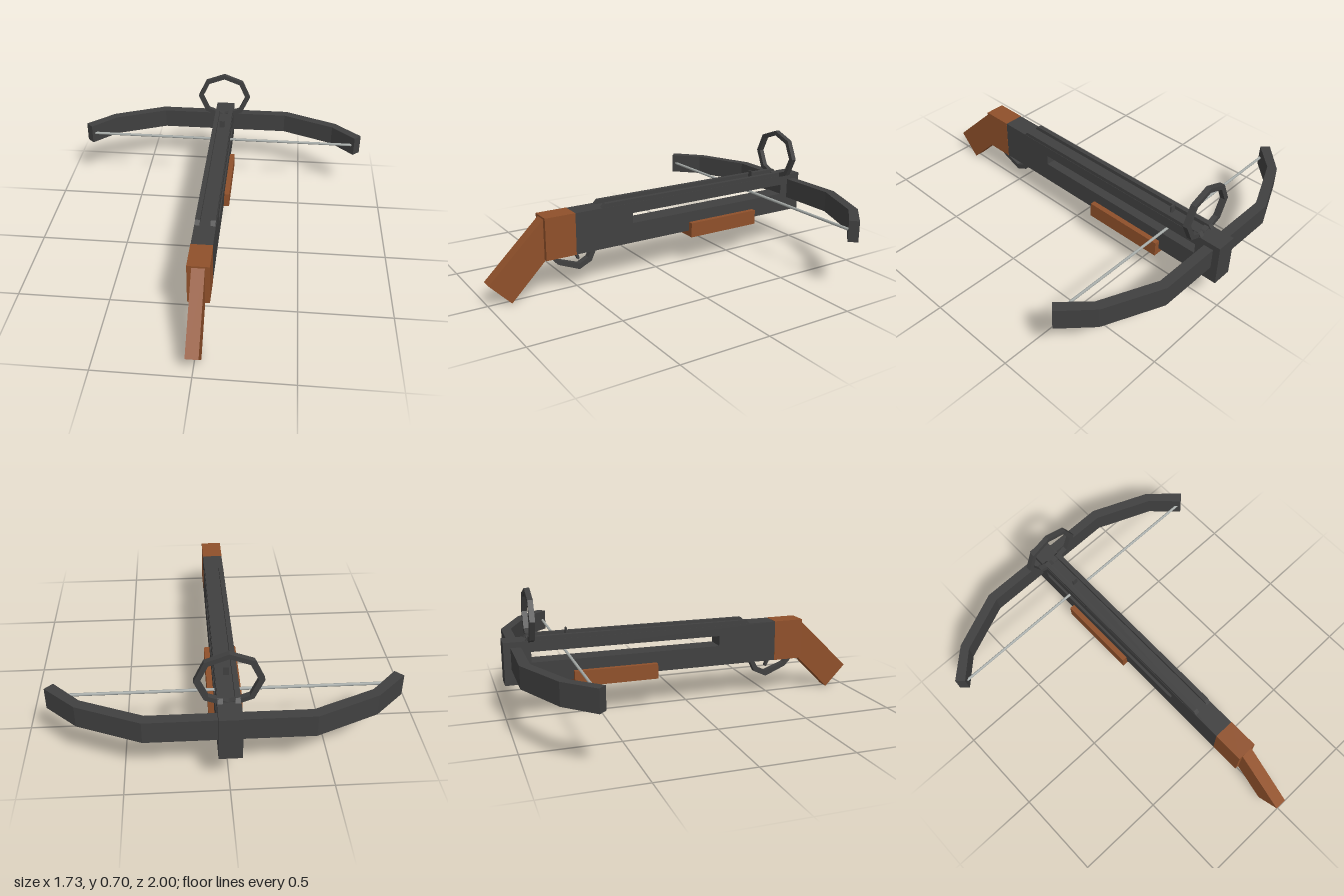
import * as THREE from 'three';

const material = (name, color) => {
  const m = new THREE.MeshStandardMaterial({ color });
  m.name = name;
  return m;
};

export function createModel() {
  const model = new THREE.Group();
  model.name = 'crossbow';
  const metal = material('dark metal', 0x404040);
  const wood = material('brown wood', 0x8f502a);
  const cord = material('grey cord', 0xa8adaa);

  const add = (name, geometry, mat, x = 0, y = 0, z = 0) => {
    const mesh = new THREE.Mesh(geometry, mat);
    mesh.name = name;
    mesh.position.set(x, y, z);
    model.add(mesh);
    return mesh;
  };
  const vectors = (points) => points.map(([a, b]) => new THREE.Vector2(a, b));
  const extrude = (points, depth, hole) => {
    const shape = new THREE.Shape(vectors(points));
    if (hole) shape.holes.push(new THREE.Path(vectors(hole)));
    return new THREE.ExtrudeGeometry(shape, { depth, bevelEnabled: false });
  };
  // Side profile of [z, y] points, extruded across x and centred
  const side = (points, width, hole) =>
    extrude(points, width, hole).translate(0, 0, -width / 2).rotateY(-Math.PI / 2);
  const rect = (a, b, c, d) => [[a, c], [b, c], [b, d], [a, d]];

  // Body with a long slot cut through for the string
  add('body', side(rect(-1, 0.523, 0.203, 0.43), 0.112, rect(-0.86, 0.18, 0.315, 0.372)), metal);

  // Twin top rails with sloped ends
  for (const s of [-1, 1]) {
    add('topRail', side([[-0.89, 0.425], [0.37, 0.425], [0.345, 0.451], [-0.87, 0.451]], 0.026),
      metal, s * 0.041);
  }
  add('sight', new THREE.BoxGeometry(0.03, 0.05, 0.008), metal, 0, 0.45, -0.667);

  // Wooden stock block, angled grip and fore-end
  add('stockBlock', new THREE.BoxGeometry(0.114, 0.229, 0.171), wood, 0, 0.3165, 0.6075);
  add('grip', side([[0.65, 0.23], [0.69, 0.195], [0.882, 0.002], [1, 0.124], [0.69, 0.424], [0.65, 0.42]], 0.066), wood);
  add('foreEnd', new THREE.BoxGeometry(0.17, 0.084, 0.456), wood, 0, 0.212, -0.415);

  // Trigger guard strap and trigger
  add('triggerGuard', side([
    [0.665, 0.21], [0.61, 0.15], [0.488, 0.1], [0.416, 0.134], [0.38, 0.21],
    [0.408, 0.21], [0.436, 0.156], [0.488, 0.131], [0.6, 0.172], [0.633, 0.21],
  ], 0.035), metal);
  add('trigger', side([[0.522, 0.21], [0.493, 0.155], [0.483, 0.16], [0.5, 0.21]], 0.022), metal);

  // Bow limbs, mirrored from half outlines of [x, z] points
  const outer = [[0.4, -0.963], [0.71, -0.831], [0.863, -0.688]];
  const inner = [[0.824, -0.65], [0.69, -0.783], [0.388, -0.91]];
  const half = [...outer, ...inner];
  const mirrored = half.map(([x, z]) => [-x, z]).reverse();
  add('bowLimbs', extrude([...half, ...mirrored], 0.115).rotateX(Math.PI / 2), metal, 0, 0.401, 0);

  // String stretched between the limb tips
  add('bowString', new THREE.CylinderGeometry(0.008, 0.008, 1.66, 6).rotateZ(Math.PI / 2),
    cord, 0, 0.345, -0.67);

  // Eight-sided foot loop
  const ring = (rx, ry) => Array.from({ length: 8 }, (_, i) => {
    const a = (i * Math.PI) / 4;
    return [rx * Math.cos(a), ry * Math.sin(a)];
  });
  add('footLoop', extrude(ring(0.162, 0.147), 0.028, ring(0.134, 0.121)), metal, 0, 0.55, -0.874);

  return model;
}
